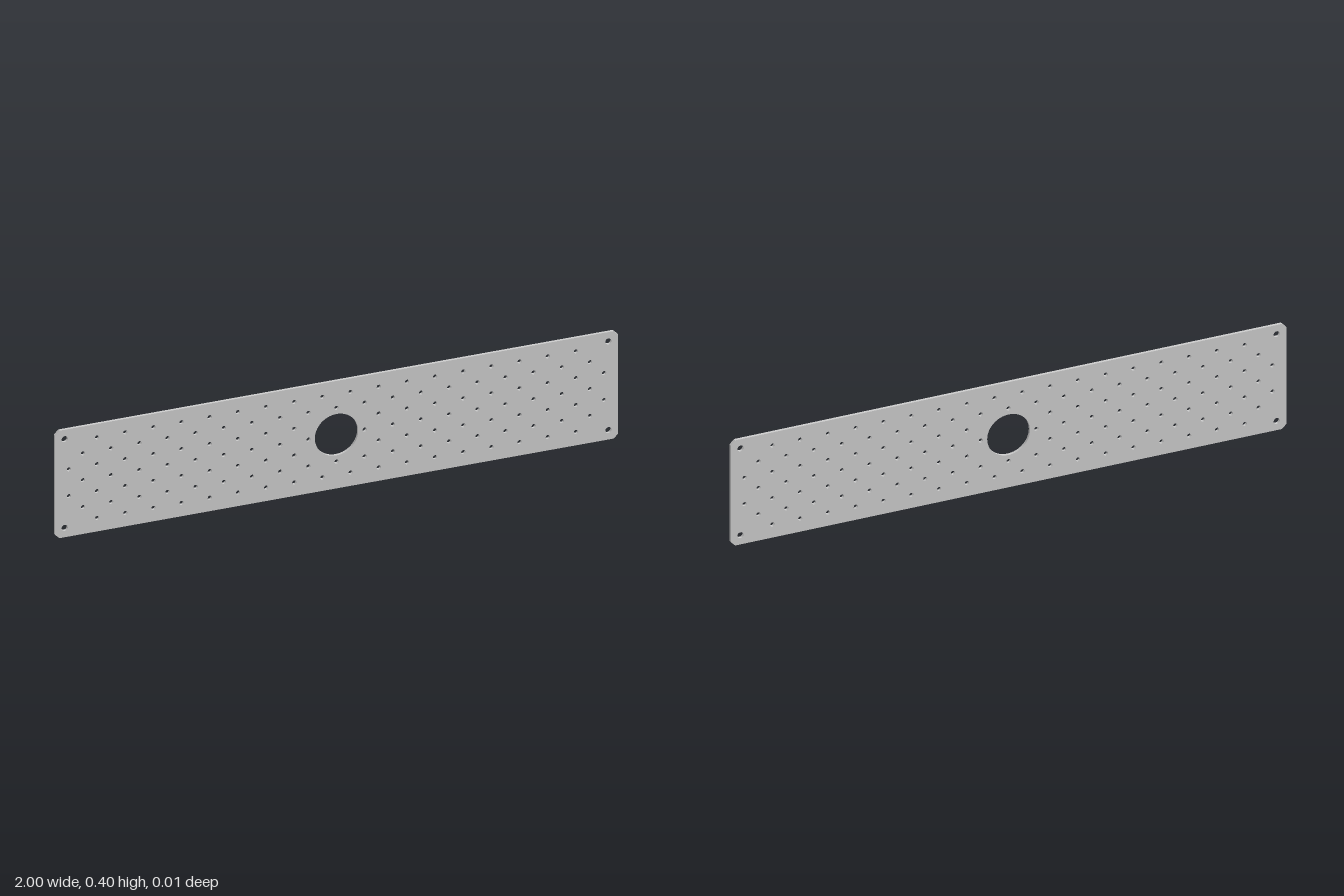
import * as THREE from 'three';
import { toCreasedNormals } from 'three/addons/utils/BufferGeometryUtils.js';

const W = 1, H = 0.4, T = 0.01, CHAMFER = 0.016;

function addHole(shape, x, y, r, sides) {
  const points = [];
  for (let i = 0; i < sides; i++) {
    const a = (-i / sides) * Math.PI * 2;
    points.push(new THREE.Vector2(x + r * Math.cos(a), y + r * Math.sin(a)));
  }
  shape.holes.push(new THREE.Path(points));
}

export function createModel() {
  const group = new THREE.Group();
  group.name = 'perforatedPlate';

  // Rectangular outline with clipped corners
  const c = CHAMFER;
  const outline = new THREE.Shape([
    [-W + c, 0], [W - c, 0], [W, c], [W, H - c],
    [W - c, H], [-W + c, H], [-W, H - c], [-W, c],
  ].map(([x, y]) => new THREE.Vector2(x, y)));

  // Large central opening
  addHole(outline, 0, H / 2, 0.077, 64);

  // Mounting holes in the corners
  for (const x of [-0.965, 0.965])
    for (const y of [0.035, 0.365]) addHole(outline, x, y, 0.011, 24);

  // Staggered small holes, skipping the opening and the corners
  for (let row = 1; row <= 7; row++) {
    const y = row * 0.05;
    const outer = row % 2 === 0 ? 18 : row === 1 || row === 7 ? 17 : 19;
    for (let k = -outer; k <= outer; k += 2) {
      const x = k * 0.05;
      if (Math.hypot(x, y - H / 2) > 0.09) addHole(outline, x, y, 0.0075, 16);
    }
  }

  const geometry = new THREE.ExtrudeGeometry(outline, { depth: T, bevelEnabled: false });
  geometry.translate(0, 0, -T / 2);
  const plate = new THREE.Mesh(
    toCreasedNormals(geometry, 0.5),
    new THREE.MeshStandardMaterial({ color: 0xcccccc }),
  );
  plate.name = 'plate';
  group.add(plate);
  return group;
}
